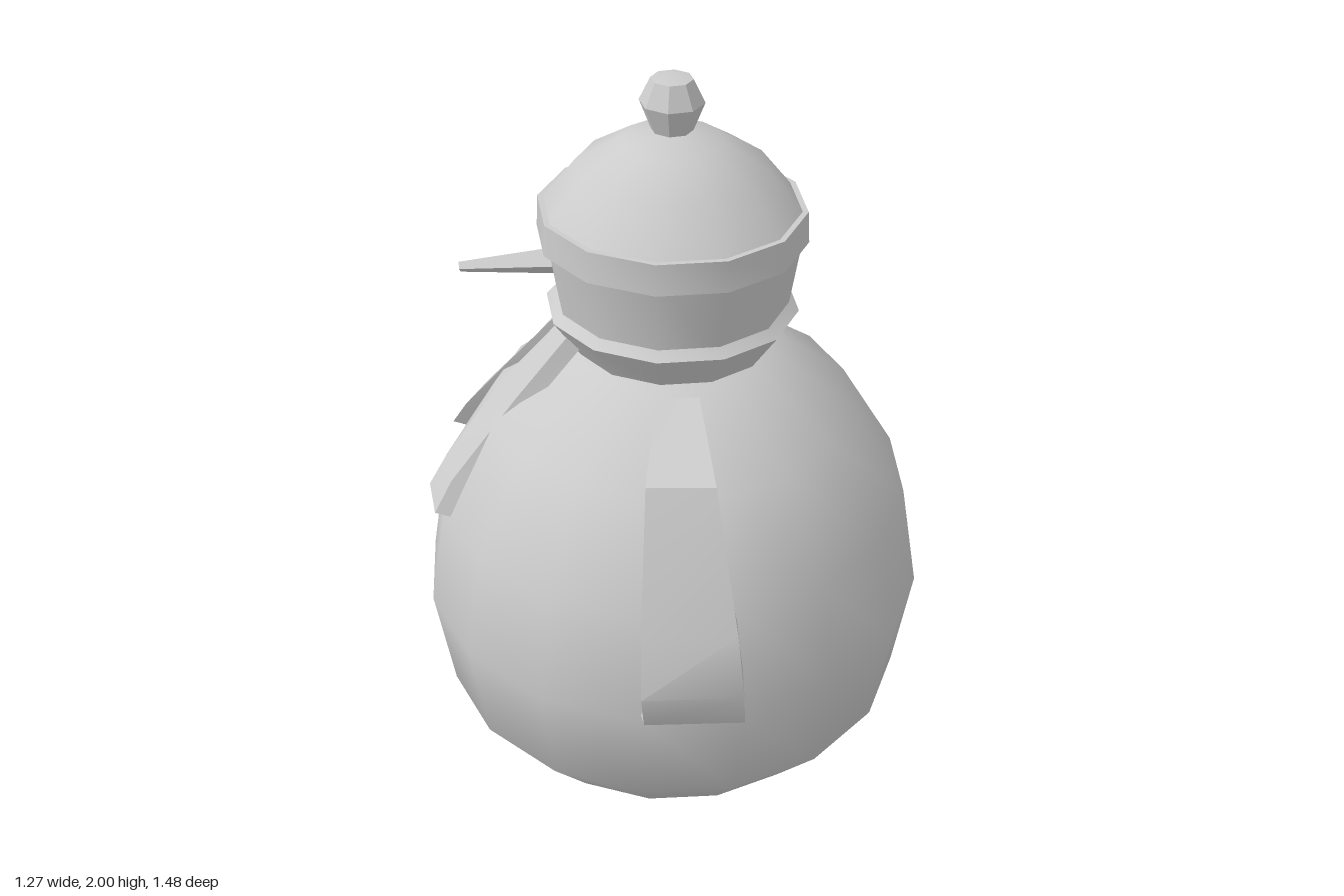
import * as THREE from 'three';
import { toCreasedNormals } from 'three/addons/utils/BufferGeometryUtils.js';

const material = new THREE.MeshStandardMaterial({ color: 0xcccccc });

function part(name, geometry, crease = 0.7) {
  const mesh = new THREE.Mesh(toCreasedNormals(geometry, crease), material);
  mesh.name = name;
  return mesh;
}

// Revolved part, profile listed from bottom to top
function turned(name, profile, sides, depth = 1, crease = 0.7) {
  const points = profile.map(([r, y]) => new THREE.Vector2(r, y));
  const geometry = new THREE.LatheGeometry(points, sides);
  geometry.scale(1, 1, depth);
  return part(name, geometry, crease);
}

// Closed strip through four-cornered sections; side -1 mirrors it across z
function strip(name, sections, side) {
  const rings = sections.map((s) => {
    const ring = s.map(([x, y, z]) => [x, y, z * side]);
    return side < 0 ? ring.reverse() : ring;
  });
  const index = [0, 1, 2, 0, 2, 3];
  for (let i = 0; i < rings.length - 1; i++) {
    for (let j = 0; j < 4; j++) {
      const a = i * 4 + j, b = i * 4 + (j + 1) % 4;
      index.push(a, a + 4, b, a + 4, b + 4, b);
    }
  }
  const e = (rings.length - 1) * 4;
  index.push(e, e + 2, e + 1, e, e + 3, e + 2);
  const geometry = new THREE.BufferGeometry();
  geometry.setAttribute('position', new THREE.Float32BufferAttribute(rings.flat(2), 3));
  geometry.setIndex(index);
  return part(name, geometry, 0.6);
}

export function createModel() {
  const group = new THREE.Group();
  const depth = 0.9; // the head parts are slightly narrower in z

  // Round body with a small flat foot
  group.add(turned('body', [
    [0, 0], [0.24, 0.01], [0.45, 0.175], [0.59, 0.335], [0.635, 0.61],
    [0.59, 0.89], [0.45, 1.13], [0.24, 1.29], [0, 1.31],
  ], 16, 1, 0.9));

  // Scarf ring, head, hat and bobble
  group.add(turned('scarf', [
    [0, 1.3], [0.24, 1.3], [0.308, 1.4], [0.28, 1.425], [0, 1.425],
  ], 12, depth));
  group.add(turned('head', [[0.28, 1.4], [0.315, 1.62]], 12, depth));
  group.add(turned('hatBrim', [
    [0.29, 1.59], [0.326, 1.59], [0.322, 1.67], [0.3, 1.67],
  ], 12, depth));
  group.add(turned('hatCrown', [
    [0.308, 1.67], [0.23, 1.77], [0.12, 1.84], [0, 1.862],
  ], 12, depth));
  group.add(turned('bobble', [
    [0, 1.86], [0.05, 1.865], [0.077, 1.935], [0.05, 1.992], [0, 2],
  ], 8, depth, 0.6));

  // Tapered nose pointing to -x
  const nose = new THREE.CylinderGeometry(0.014, 0.038, 0.26, 4);
  nose.scale(1, 1, 0.85);
  nose.rotateZ(Math.PI / 2 + 0.15);
  nose.translate(-0.392, 1.478, 0);
  group.add(part('nose', nose));

  // Arms: [left x, right x, y, left z, right z] of the outer face
  const armRows = [
    [0, 0.1, 1.31, 0.29, 0.27],
    [0.01, 0.17, 1.235, 0.54, 0.52],
    [0.02, 0.24, 0.92, 0.7, 0.66],
    [0.025, 0.26, 0.77, 0.74, 0.695],
    [0.025, 0.26, 0.66, 0.7, 0.66],
    [0, 0.245, 0.615, 0.6, 0.57],
  ];
  // The inner face is sunk toward the middle of the body
  const sink = (y) => 0.61 + (y - 0.61) * 0.7;
  const armSections = armRows.map(([xl, xr, y, zl, zr]) => [
    [xl, y, zl], [xr, y, zr],
    [xr * 0.9, sink(y), zr * 0.7], [0, sink(y), zl * 0.7],
  ]);

  // Scarf tails: [y, inner x, inner z, outer x, outer z]
  const tailRows = [
    [1.37, -0.25, 0.03, -0.23, 0.13],
    [1.18, -0.41, 0.04, -0.37, 0.155],
    [0.98, -0.555, 0.11, -0.52, 0.23],
    [0.9, -0.6, 0.14, -0.56, 0.26],
  ];
  const tailSections = tailRows.map(([y, xi, zi, xo, zo]) => [
    [xi, y, zi], [xo, y, zo], [xo + 0.045, y - 0.01, zo], [xi + 0.045, y - 0.01, zi],
  ]);

  for (const side of [1, -1]) {
    group.add(strip(side > 0 ? 'frontArm' : 'backArm', armSections, side));
    group.add(strip(side > 0 ? 'frontScarfTail' : 'backScarfTail', tailSections, side));
  }
  return group;
}
